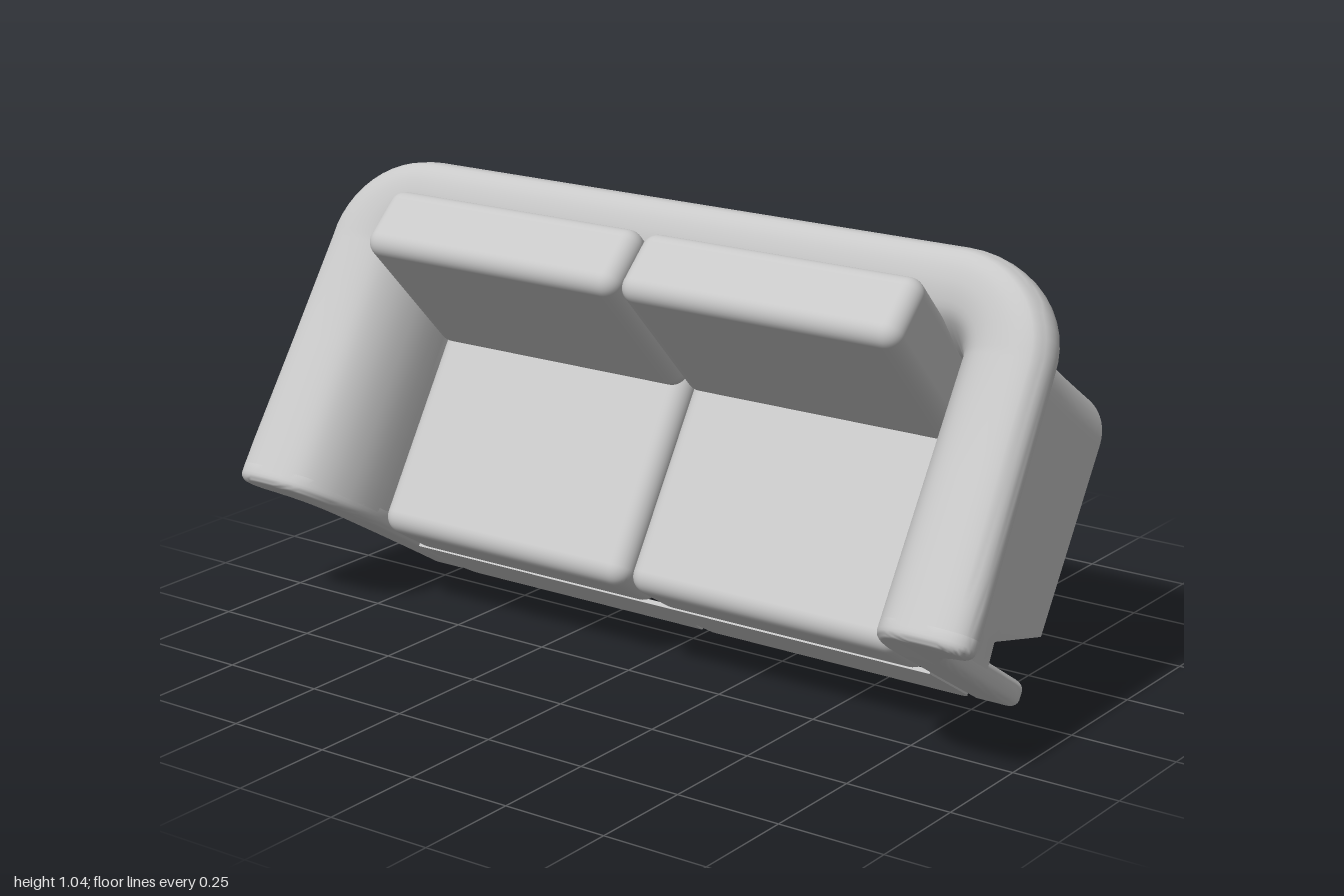
import * as THREE from 'three';
import { toCreasedNormals } from 'three/addons/utils/BufferGeometryUtils.js';
import { RoundedBoxGeometry } from 'three/addons/geometries/RoundedBoxGeometry.js';

const FLOOR = -0.05, FRONT = -0.03, CORNER_X = 0.72, CORNER_Z = -0.65, RADIUS = 0.11;
const { lerp, clamp, degToRad } = THREE.MathUtils;

// Rolled arm section: outward offset from the panel, height
const section = new THREE.SplineCurve([
  [0, FLOOR], [0.01, 0.15], [0.03, 0.34], [0.055, 0.42], [0.1, 0.46], [0.145, 0.483],
  [0.167, 0.515], [0.163, 0.55], [0.135, 0.574], [0.08, 0.584], [0, 0.573], [-0.05, 0.54],
  [-0.088, 0.475], [-0.108, 0.38], [-0.11, 0.2], [-0.11, FLOOR],
].map(([d, v]) => new THREE.Vector2(d, v))).getPoints(60);

function shellGeometry() {
  // Half path: from behind the arm front, past the notch, round the rear corner
  const half = [
    { z: -0.06, low: 0.148, inner: 0.2 },
    { z: -0.13, low: 0.158, inner: 0.2 },
    { z: -0.2, low: -0.06, inner: 0.2 },
    { z: -0.4, low: -0.06, inner: 0.2 },
  ].map(s => ({ ...s, t: 0 }));
  for (let i = 0; i <= 12; i++) {
    half.push({ z: CORNER_Z, t: i / 12 * Math.PI / 2, low: -0.06, inner: lerp(0.2, 0.33, i / 12) });
  }
  const stations = [
    ...half.map(s => ({ ...s, side: 1 })),
    ...half.slice().reverse().map(s => ({ ...s, side: -1 })),
  ];
  const pos = [], idx = [], n = section.length;
  stations.forEach((s, row) => {
    const along = clamp((s.z + 0.1) / (CORNER_Z + 0.1), 0, 1);
    const turn = Math.sin(s.t);
    section.forEach((p, i) => {
      // Toward the back the overhang narrows, its lip drops and its top rises
      const d = p.x > 0 ? p.x * (1 - 0.13 * along) : p.x;
      const dBack = p.x > 0 ? p.x * 0.7 : p.x;
      const lip = i < n * 0.5 ? Math.max(0, 1 - Math.abs(p.y - 0.45) / 0.2) : 0;
      const rise = 0.015 * turn * clamp((p.y - 0.5) / 0.05, 0, 1);
      const y = i === 0 ? s.low : p.y + rise - 0.022 * lip * lerp(0.4 * along, 1, turn);
      pos.push(
        s.side * (CORNER_X + (RADIUS + d) * Math.cos(s.t)),
        Math.max(y, i > n * 0.6 ? s.inner : s.low),
        s.z - (RADIUS + dBack) * turn);
      if (row && i) {
        const e = row * n + i, c = e - 1, b = e - n, a = b - 1;
        idx.push(a, b, c, b, e, c);
      }
    });
  });
  const g = new THREE.BufferGeometry();
  g.setAttribute('position', new THREE.Float32BufferAttribute(pos, 3));
  g.setIndex(idx);
  return toCreasedNormals(g, 0.7);
}

// Padded slab with softened edges that closes the arm and forms its foot
function armFrontGeometry() {
  const shape = new THREE.Shape(section.map(p =>
    new THREE.Vector2(CORNER_X + RADIUS + p.x, p.y)).reverse());
  const g = new THREE.ExtrudeGeometry(shape, {
    depth: 0.02, bevelThickness: 0.021, bevelSize: 0.021, bevelOffset: -0.021, bevelSegments: 5,
  });
  return toCreasedNormals(g.translate(0, 0, FRONT - 0.041), 0.7);
}

export function createModel() {
  const fabric = new THREE.MeshStandardMaterial({ color: 0xc8c8c8, side: THREE.DoubleSide });
  fabric.name = 'grey fabric';
  const model = new THREE.Group();
  model.name = 'sofa';
  const body = new THREE.Group();
  body.name = 'tiltedBody';
  body.rotation.x = degToRad(58);
  model.add(body);

  const add = (name, geometry, x = 0, y = 0, z = 0) => {
    const mesh = new THREE.Mesh(geometry, fabric);
    mesh.name = name;
    mesh.position.set(x, y, z);
    body.add(mesh);
    return mesh;
  };

  // Continuous rolled arms and back
  add('armsAndBack', shellGeometry());

  const armFront = armFrontGeometry();
  const seat = new RoundedBoxGeometry(0.714, 0.195, 0.55, 5, 0.042);
  const backrest = new RoundedBoxGeometry(0.714, 0.42, 0.172, 5, 0.038);
  for (const side of [1, -1]) {
    const name = side > 0 ? 'left' : 'right';
    add(name + 'ArmFront', armFront).scale.x = side;

    // Seat and back cushions
    add(name + 'SeatCushion', seat, side * 0.362, 0.254, -0.306);
    add(name + 'BackCushion', backrest, side * 0.362, 0.518, -0.628).rotation.x = degToRad(-14.5);
  }

  // Front rail with a small centre notch
  const rail = new THREE.Shape();
  rail.moveTo(-0.68, FLOOR);
  rail.lineTo(-0.015, FLOOR);
  rail.lineTo(0, 0.01);
  rail.lineTo(0.015, FLOOR);
  rail.lineTo(0.68, FLOOR);
  rail.quadraticCurveTo(0.72, FLOOR, 0.72, 0);
  rail.lineTo(0.72, 0.172);
  rail.lineTo(-0.72, 0.172);
  rail.lineTo(-0.72, 0);
  rail.quadraticCurveTo(-0.72, FLOOR, -0.68, FLOOR);
  add('frontRail', new THREE.ExtrudeGeometry(rail, { depth: 0.01, bevelEnabled: false }), 0, 0, FRONT - 0.01);

  return model;
}
